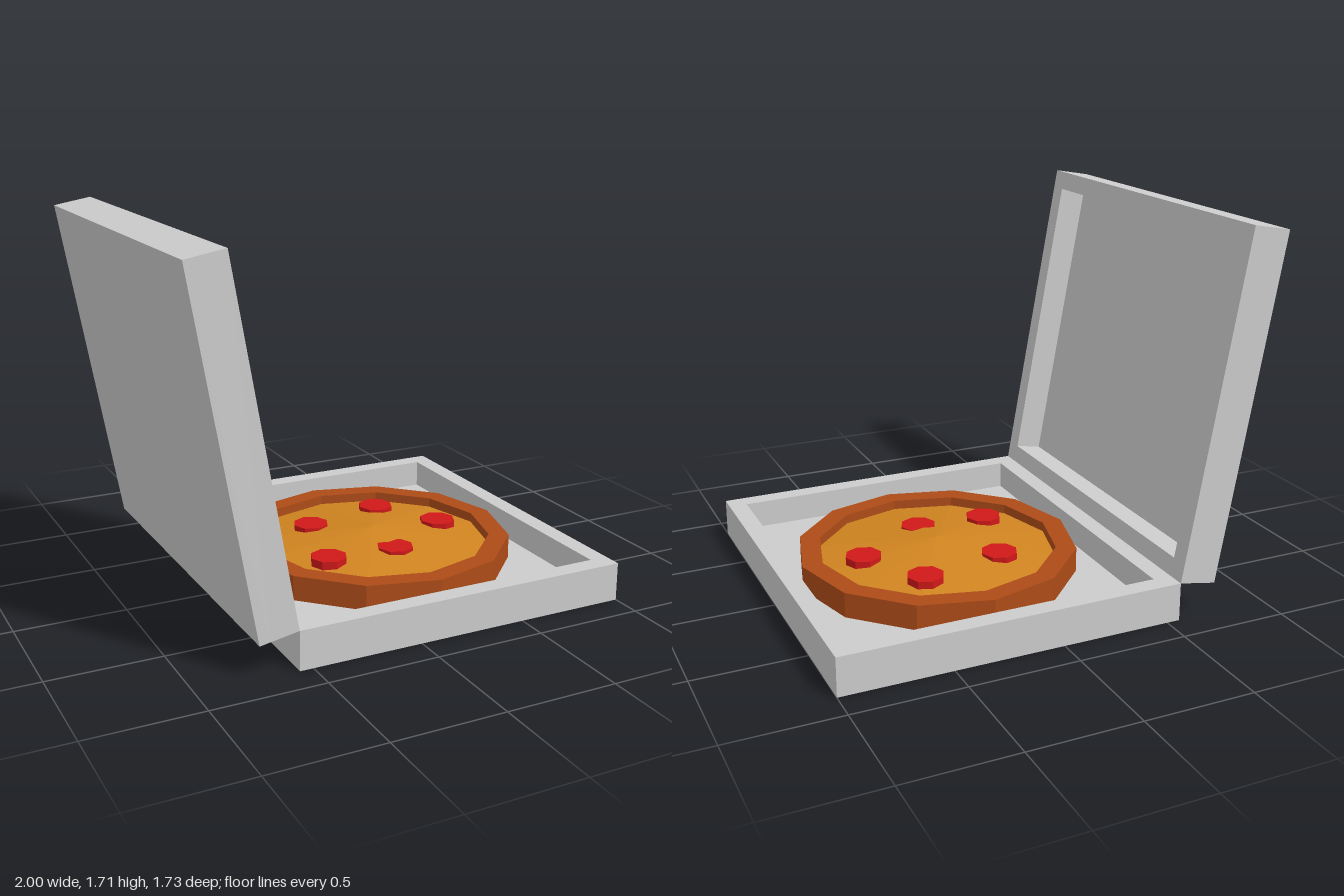
import * as THREE from 'three';

const material = (color) => new THREE.MeshStandardMaterial({ color, flatShading: true });
const card = material(0xcccccc);
const crustMat = material(0xad4b18);
const cheeseMat = material(0xd08420);
const meatMat = material(0xd01818);

const LENGTH = 1.56, WIDTH = 1.728, HEIGHT = 0.175, FLOOR = 0.045, WALL = 0.085;

function add(parent, name, geometry, mat, x = 0, y = 0, z = 0) {
  const mesh = new THREE.Mesh(geometry, mat);
  mesh.name = name;
  mesh.position.set(x, y, z);
  parent.add(mesh);
  return mesh;
}

function rectangle(w, d) {
  return [[-w, -d], [w, -d], [w, d], [-w, d]].map(([x, y]) => new THREE.Vector2(x / 2, y / 2));
}

function polygon(radius, sides) {
  return Array.from({ length: sides }, (_, i) => {
    const a = (i / sides) * Math.PI * 2;
    return new THREE.Vector2(radius * Math.cos(a), radius * Math.sin(a));
  });
}

// Upright ring: an outline with a hole, raised from y = 0
function ring(outer, inner, height) {
  const shape = new THREE.Shape(outer);
  shape.holes.push(new THREE.Path(inner.slice().reverse()));
  return new THREE.ExtrudeGeometry(shape, { depth: height, bevelEnabled: false }).rotateX(-Math.PI / 2);
}

// Open cardboard tray, its rim at y = 0 and its right edge at x = 0
function tray(name) {
  const group = new THREE.Group();
  group.name = name;
  const walls = ring(rectangle(LENGTH, WIDTH), rectangle(LENGTH - 2 * WALL, WIDTH - 2 * WALL), HEIGHT - FLOOR);
  add(group, name + 'Walls', walls, card, -LENGTH / 2, FLOOR - HEIGHT, 0);
  add(group, name + 'Panel', new THREE.BoxGeometry(LENGTH, FLOOR, WIDTH), card, -LENGTH / 2, FLOOR / 2 - HEIGHT, 0);
  return group;
}

export function createModel() {
  const model = new THREE.Group();
  model.name = 'pizzaBox';

  // Box base, and the lid leaning back from the hinge
  const base = tray('base');
  base.position.set(1, HEIGHT, 0);
  const lid = tray('lid');
  lid.position.set(1 - LENGTH, HEIGHT, 0);
  lid.rotation.z = THREE.MathUtils.degToRad(-80);
  model.add(base, lid);

  // Pizza: raised crust around a shallow cone of cheese
  const pizza = new THREE.Group();
  pizza.name = 'pizza';
  pizza.position.set(0.22, 0, 0);
  model.add(pizza);
  add(pizza, 'crust', ring(polygon(0.648, 12), polygon(0.553, 12), 0.115), crustMat, 0, FLOOR, 0);
  add(pizza, 'cheese', new THREE.ConeGeometry(0.553, 0.072, 12, 1, true), cheeseMat, 0, 0.152, 0);

  // Toppings
  const slice = new THREE.CylinderGeometry(0.085, 0.085, 0.044, 8);
  for (const [x, z] of [[-0.22, -0.215], [0.18, -0.305], [0.36, 0], [0.005, 0.22], [-0.325, 0.195]]) {
    add(pizza, 'pepperoniSlice', slice, meatMat, x, 0.144, z);
  }
  return model;
}
